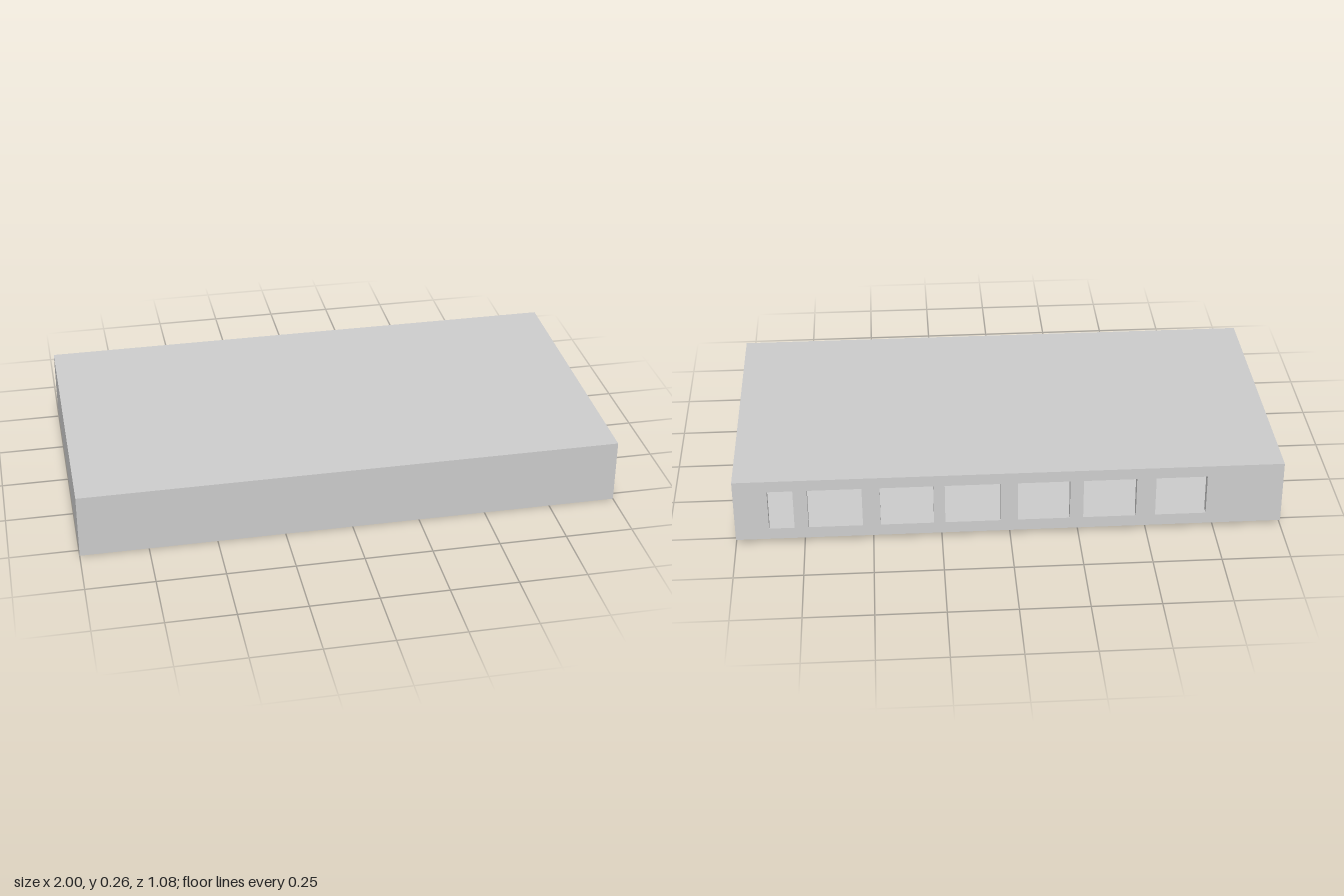
import * as THREE from 'three';

const DEPTH = 1.076, HEIGHT = 0.243, SKIN = 0.003, WALL = 0.03, LIP = 0.02;
const LOW = 0.028, HIGH = 0.215;          // where the inner chamfers begin
const Y0 = SKIN, Y1 = HEIGHT - SKIN;      // wall foot and wall head
const TILT = 0.0167;

export function createModel() {
  const grey = new THREE.MeshStandardMaterial({ color: 0xcccccc });
  grey.name = 'light grey';

  const body = new THREE.Group();
  body.name = 'openCase';
  const add = (name, geometry, x = 0, y = 0, z = 0) => {
    const mesh = new THREE.Mesh(geometry, grey);
    mesh.name = name;
    mesh.position.set(x, y, z);
    body.add(mesh);
  };

  // Wall strip: profile (distance inward, height) extruded and centred along z
  const strip = (points, length) => {
    const shape = new THREE.Shape(points.map(p => new THREE.Vector2(...p)));
    return new THREE.ExtrudeGeometry(shape, { depth: length, bevelEnabled: false })
      .translate(0, 0, -length / 2);
  };
  const wallProfile = [[0, Y0], [LIP, Y0], [WALL, LOW], [WALL, HIGH], [LIP, Y1], [0, Y1]];

  // Thin top and bottom skins
  add('bottomPlate', new THREE.BoxGeometry(2, SKIN, DEPTH), 0, SKIN / 2, 0);
  add('topPlate', new THREE.BoxGeometry(2, SKIN, DEPTH), 0, HEIGHT - SKIN / 2, 0);

  // Solid front wall and closed end wall; the +x end stays open
  add('frontWall', strip(wallProfile, 2).rotateY(Math.PI / 2), 0, 0, DEPTH / 2);
  add('endWall', strip(wallProfile, DEPTH - 2 * LIP), -1, 0, 0);

  // Back wall: chamfered rails above and below a panel with openings
  const rails = {
    backLowerRail: [[0, Y0], [LIP, Y0], [WALL, LOW], [0, LOW]],
    backUpperRail: [[0, HIGH], [WALL, HIGH], [LIP, Y1], [0, Y1]],
  };
  for (const [name, profile] of Object.entries(rails)) {
    add(name, strip(profile, 2).rotateY(-Math.PI / 2), 0, 0, -DEPTH / 2);
  }

  const rectangle = (path, x0, x1, y0, y1) =>
    path.moveTo(x0, y0).lineTo(x1, y0).lineTo(x1, y1).lineTo(x0, y1).closePath();
  const panel = new THREE.Shape();
  rectangle(panel, -1, 1, LOW, HIGH);
  const openings = [[0.785, 0.877], [0.537, 0.734], [0.278, 0.472], [0.036, 0.237],
    [-0.219, -0.028], [-0.462, -0.268], [-0.72, -0.533]];
  for (const [x0, x1] of openings) {
    const hole = new THREE.Path();
    rectangle(hole, x0, x1, 0.044, 0.2);
    panel.holes.push(hole);
  }
  add('backPanel', new THREE.ExtrudeGeometry(panel, { depth: WALL, bevelEnabled: false }),
    0, 0, -DEPTH / 2);

  // Slight tilt, with the back raised and the front edge on the ground
  body.rotation.x = TILT;
  body.position.set(0, Math.sin(TILT) * DEPTH / 2, -Math.sin(TILT) * HEIGHT / 2);

  const model = new THREE.Group();
  model.name = 'caseModel';
  model.add(body);
  return model;
}
